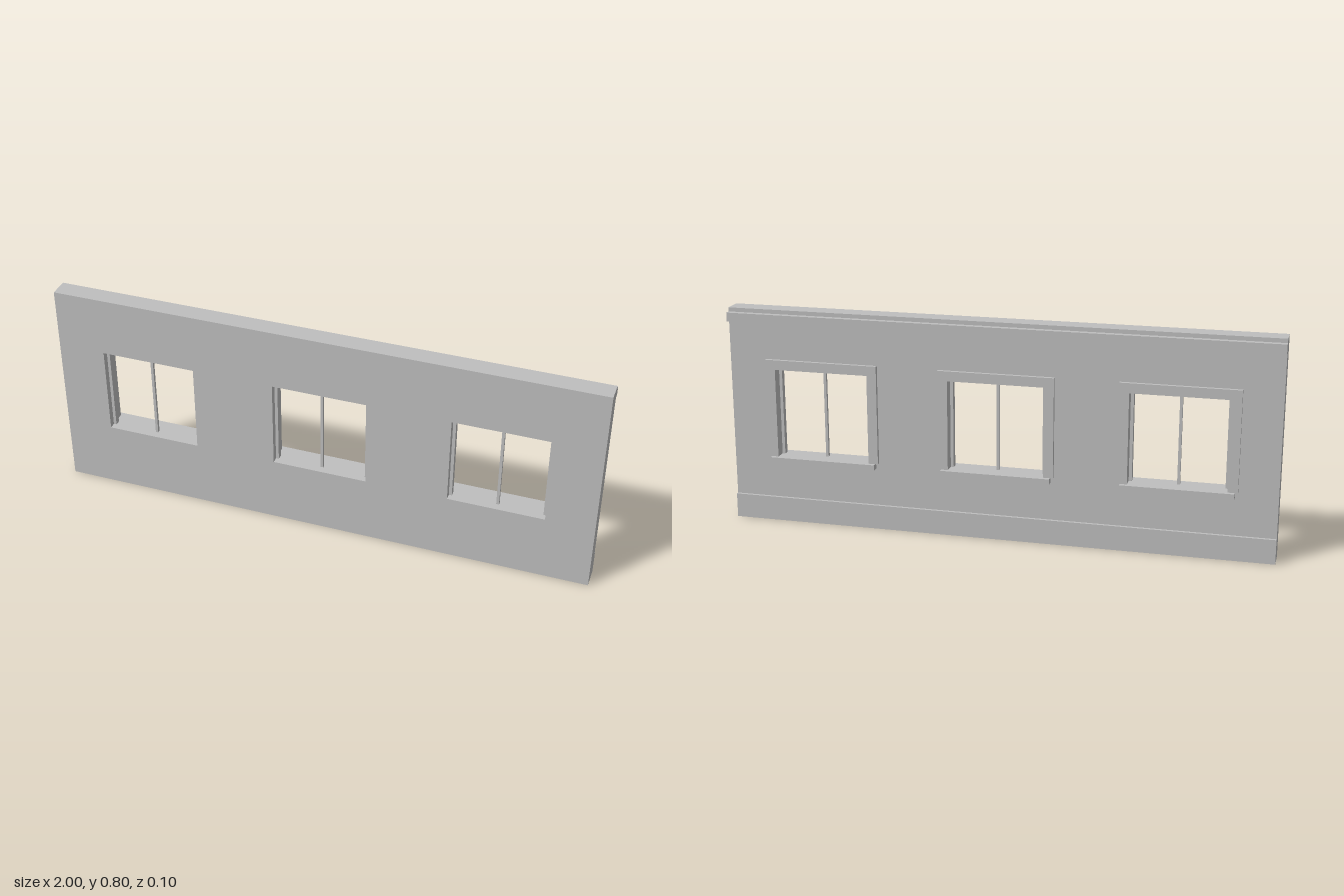
import * as THREE from 'three';

const BACK = -0.022, FRONT = 0.05;      // wall faces
const SILL = 0.25, HEAD = 0.58, HALF = 0.175; // window opening
const CENTRES = [-0.65, 0, 0.65];

export function createModel() {
  const model = new THREE.Group();
  model.name = 'windowWall';
  const plaster = new THREE.MeshStandardMaterial({ color: 0xbfbfbf });
  plaster.name = 'grey plaster';

  const add = (parent, name, geometry) => {
    const mesh = new THREE.Mesh(geometry, plaster);
    mesh.name = name;
    parent.add(mesh);
  };
  // Box given by its limits on each axis
  const block = (parent, name, x0, x1, y0, y1, z0, z1) => {
    const g = new THREE.BoxGeometry(x1 - x0, y1 - y0, z1 - z0);
    add(parent, name, g.translate((x0 + x1) / 2, (y0 + y1) / 2, (z0 + z1) / 2));
  };
  const trace = (path, points) => {
    path.setFromPoints(points.map(([x, y]) => new THREE.Vector2(x, y)));
    path.closePath();
    return path;
  };

  // Wall slab with three openings
  const wall = trace(new THREE.Shape(), [[-1, 0], [1, 0], [1, 0.8], [-1, 0.8]]);
  for (const c of CENTRES) {
    wall.holes.push(trace(new THREE.Path(),
      [[c - HALF, SILL], [c - HALF, HEAD], [c + HALF, HEAD], [c + HALF, SILL]]));
  }
  add(model, 'wall', new THREE.ExtrudeGeometry(wall, { depth: FRONT - BACK, bevelEnabled: false })
    .translate(0, 0, BACK));

  // Full-length trims on the back
  block(model, 'plinth', -1, 1, 0, 0.09, -0.033, BACK);
  block(model, 'cornice', -1, 1, 0.752, 0.785, -0.043, BACK);

  // Windows: surround, sill, side jambs and centre mullion
  for (const c of CENTRES) {
    const win = new THREE.Group();
    win.name = 'window';
    win.position.x = c;
    model.add(win);

    const outer = HALF + 0.036, top = HEAD + 0.036;
    const surround = trace(new THREE.Shape(), [
      [-outer, SILL], [-HALF, SILL], [-HALF, HEAD], [HALF, HEAD],
      [HALF, SILL], [outer, SILL], [outer, top], [-outer, top]]);
    add(win, 'surround', new THREE.ExtrudeGeometry(surround, { depth: 0.013, bevelEnabled: false })
      .translate(0, 0, BACK - 0.013));

    block(win, 'sill', -0.2, 0.2, 0.23, SILL, -0.05, BACK);
    block(win, 'rightJamb', -HALF, -HALF + 0.011, SILL, HEAD, 0.005, 0.026);
    block(win, 'leftJamb', HALF - 0.011, HALF, SILL, HEAD, 0.005, 0.026);
    block(win, 'mullion', -0.005, 0.005, SILL, HEAD, 0.01, 0.021);
  }
  return model;
}
